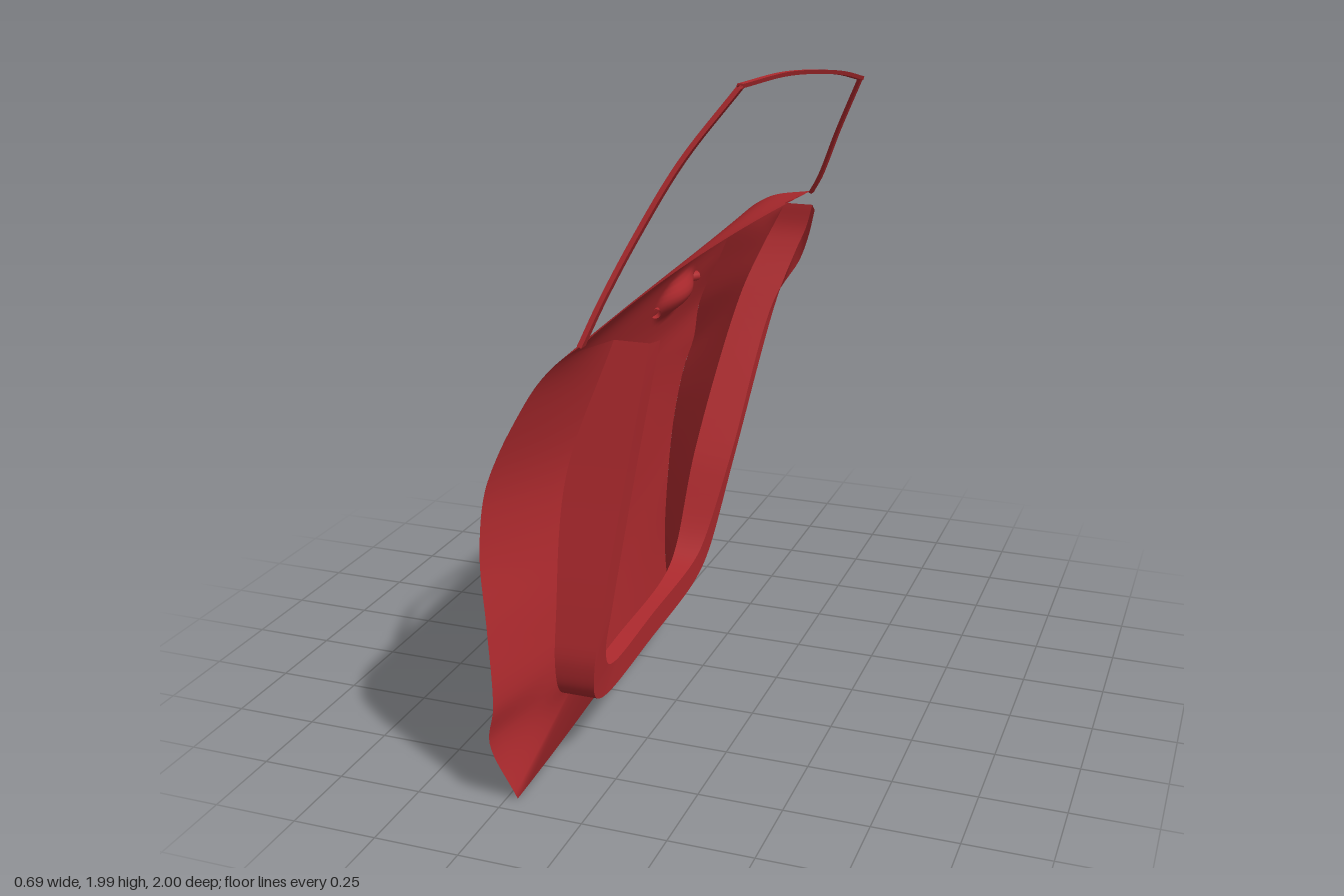
import * as THREE from 'three';

const paint = new THREE.MeshStandardMaterial({ color: 0xae2a2e, side: THREE.DoubleSide });
const V = (p) => new THREE.Vector3(...p);
const curve = (pts) => new THREE.CatmullRomCurve3(pts.map(V), false, 'centripetal');

// Smooth sheet from a function of (u, v) that returns a point
function sheet(name, nu, nv, fn) {
  const pos = [], idx = [];
  for (let j = 0; j <= nv; j++) {
    for (let i = 0; i <= nu; i++) {
      const p = fn(i / nu, j / nv);
      pos.push(p.x, p.y, p.z);
      if (i < nu && j < nv) {
        const a = j * (nu + 1) + i, b = a + nu + 1;
        idx.push(a, b, a + 1, b, b + 1, a + 1);
      }
    }
  }
  const g = new THREE.BufferGeometry();
  g.setAttribute('position', new THREE.Float32BufferAttribute(pos, 3));
  g.setIndex(idx);
  g.computeVertexNormals();
  const mesh = new THREE.Mesh(g, paint);
  mesh.name = name;
  return mesh;
}

// Door skin: front edge, middle and rear edge, from sill to window line
const frontEdge = curve([
  [-0.22, 0.01, 0.94], [-0.275, 0.2, 0.99], [-0.255, 0.32, 1.0], [-0.27, 0.55, 0.99],
  [-0.29, 0.75, 0.975], [-0.28, 0.92, 0.955], [-0.25, 1.02, 0.935], [-0.2, 1.13, 0.91],
  [-0.15, 1.22, 0.885], [-0.1, 1.28, 0.86], [-0.05, 1.32, 0.82]]);
const middle = curve([
  [-0.25, 0.02, 0.22], [-0.27, 0.22, 0.24], [-0.28, 0.38, 0.22], [-0.285, 0.58, 0.17],
  [-0.29, 0.77, 0.11], [-0.285, 0.91, 0.04], [-0.27, 1.0, 0.01], [-0.235, 1.12, -0.02],
  [-0.19, 1.23, -0.05], [-0.12, 1.31, -0.05], [-0.03, 1.365, -0.04]]);
const rearEdge = curve([
  [-0.31, 0.03, -0.5], [-0.32, 0.2, -0.5], [-0.325, 0.42, -0.545], [-0.335, 0.62, -0.64],
  [-0.34, 0.77, -0.76], [-0.342, 0.85, -0.87], [-0.335, 0.97, -0.91], [-0.28, 1.12, -0.955],
  [-0.215, 1.27, -0.995], [-0.1, 1.36, -0.975], [0.08, 1.41, -0.9]]);

function skinPoint(u, v) {
  const p = new THREE.Vector3()
    .addScaledVector(frontEdge.getPoint(v), (1 - u) * (1 - 2 * u))
    .addScaledVector(middle.getPoint(v), 4 * u * (1 - u))
    .addScaledVector(rearEdge.getPoint(v), u * (2 * u - 1));
  // Shallow finger recess behind the handle
  const r = ((p.z + 0.42) / 0.21) ** 2 + ((p.y - 1.13) / 0.075) ** 2;
  if (r < 1) p.x += 0.05 * (1 - r) ** 1.5;
  return p;
}

// U-shaped inner flange: [outer y, outer z, inner y, inner z, base x, rim x, skin u, skin v]
const flange = [
  [1.29, 0.64, 1.28, 0.57, -0.03, 0.075, 0, 0.95],
  [0.9, 0.70, 0.9, 0.63, -0.155, 0.02, 0, 0.5],
  [0.5, 0.77, 0.5, 0.7, -0.165, -0.03, 0, 0.28],
  [0.36, 0.785, 0.4, 0.705, -0.165, -0.045, 0, 0.2],
  [0.27, 0.76, 0.33, 0.67, -0.165, -0.055, 0, 0.09],
  [0.23, 0.68, 0.305, 0.6, -0.165, -0.06, 0, 0],
  [0.24, 0.3, 0.32, 0.3, -0.165, -0.06, 0.43, 0],
  [0.27, -0.1, 0.345, -0.08, -0.165, -0.058, 0.75, 0],
  [0.33, -0.2, 0.39, -0.15, -0.165, -0.05, 1, 0],
  [0.62, -0.345, 0.64, -0.3, -0.15, -0.01, 1, 0.2],
  [1.1, -0.61, 1.1, -0.56, -0.08, 0.05, 1, 0.5],
  [1.25, -0.69, 1.23, -0.63, -0.03, 0.09, 1, 0.7],
  [1.32, -0.715, 1.31, -0.645, 0.0, 0.115, 1, 0.85],
  [1.4, -0.72, 1.4, -0.645, 0.04, 0.135, 1, 1]];
const baseLine = curve(flange.map(f => [f[4], f[0], f[1]]));
const rimLine = curve(flange.map(f => [f[5], f[0], f[1]]));
const lipLine = curve(flange.map((f, i) => [f[5] + (i > 10 ? 0.03 : 0.003), f[2], f[3]]));

// Point on the door outline that pairs with position t along the flange
function outline(t) {
  const s = t * (flange.length - 1), i = Math.min(Math.floor(s), flange.length - 2);
  const mix = (k) => THREE.MathUtils.lerp(flange[i][k], flange[i + 1][k], s - i);
  return skinPoint(mix(6), mix(7));
}

const between = (a, b) => (t, s) => a(t).lerp(b(t), s);
const along = (c) => (t) => c.getPoint(t);

// Flat bar that follows a curve, with a box section w (offset vector) by d
function bar(name, pts, w, d) {
  const c = curve(pts), a = V(w), b = V(d);
  const corners = [[-1, -1], [1, -1], [1, 1], [-1, 1], [-1, -1]];
  const g = new THREE.Group();
  g.name = name;
  for (let k = 0; k < 4; k++) {
    const at = (n) => (t) => c.getPoint(t)
      .addScaledVector(a, corners[n][0] / 2).addScaledVector(b, corners[n][1] / 2);
    g.add(sheet(name + 'Side', 24, 1, between(at(k), at(k + 1))));
  }
  return g;
}

export function createModel() {
  const door = new THREE.Group();
  door.name = 'carDoor';

  // Outer skin and inner panel
  door.add(sheet('outerSkin', 90, 80, skinPoint));
  door.add(sheet('innerPanel', 130, 6, between(outline, along(baseLine))));

  // Flange wall and its flat rim
  door.add(sheet('flangeWall', 130, 3, between(along(baseLine), along(rimLine))));
  door.add(sheet('flangeRim', 130, 2, between(along(rimLine), along(lipLine))));

  // Window frame
  door.add(bar('frontWindowPillar',
    [[-0.05, 1.32, 0.815], [0.0, 1.44, 0.785], [0.08, 1.61, 0.735], [0.185, 1.8, 0.685], [0.325, 1.99, 0.635]],
    [0, 0, 0.03], [0.012, -0.006, 0]));
  door.add(bar('windowTopRail',
    [[0.325, 1.993, 0.64], [0.333, 1.978, 0.3], [0.326, 1.94, -0.05], [0.312, 1.89, -0.4], [0.293, 1.832, -0.715]],
    [0.018, 0, 0], [0.004, 0.012, 0]));
  door.add(bar('rearWindowPillar',
    [[0.293, 1.835, -0.71], [0.2, 1.645, -0.79], [0.12, 1.47, -0.865], [0.08, 1.405, -0.895]],
    [0, 0, 0.032], [0.01, -0.005, 0]));

  // Pull handle bridging the recess
  const grip = new THREE.Mesh(new THREE.TubeGeometry(curve([
    [-0.245, 1.145, -0.63], [-0.285, 1.148, -0.55], [-0.298, 1.145, -0.42],
    [-0.28, 1.135, -0.29], [-0.235, 1.12, -0.21]]), 32, 0.017, 12), paint);
  grip.name = 'pullHandle';
  door.add(grip);

  return door;
}
